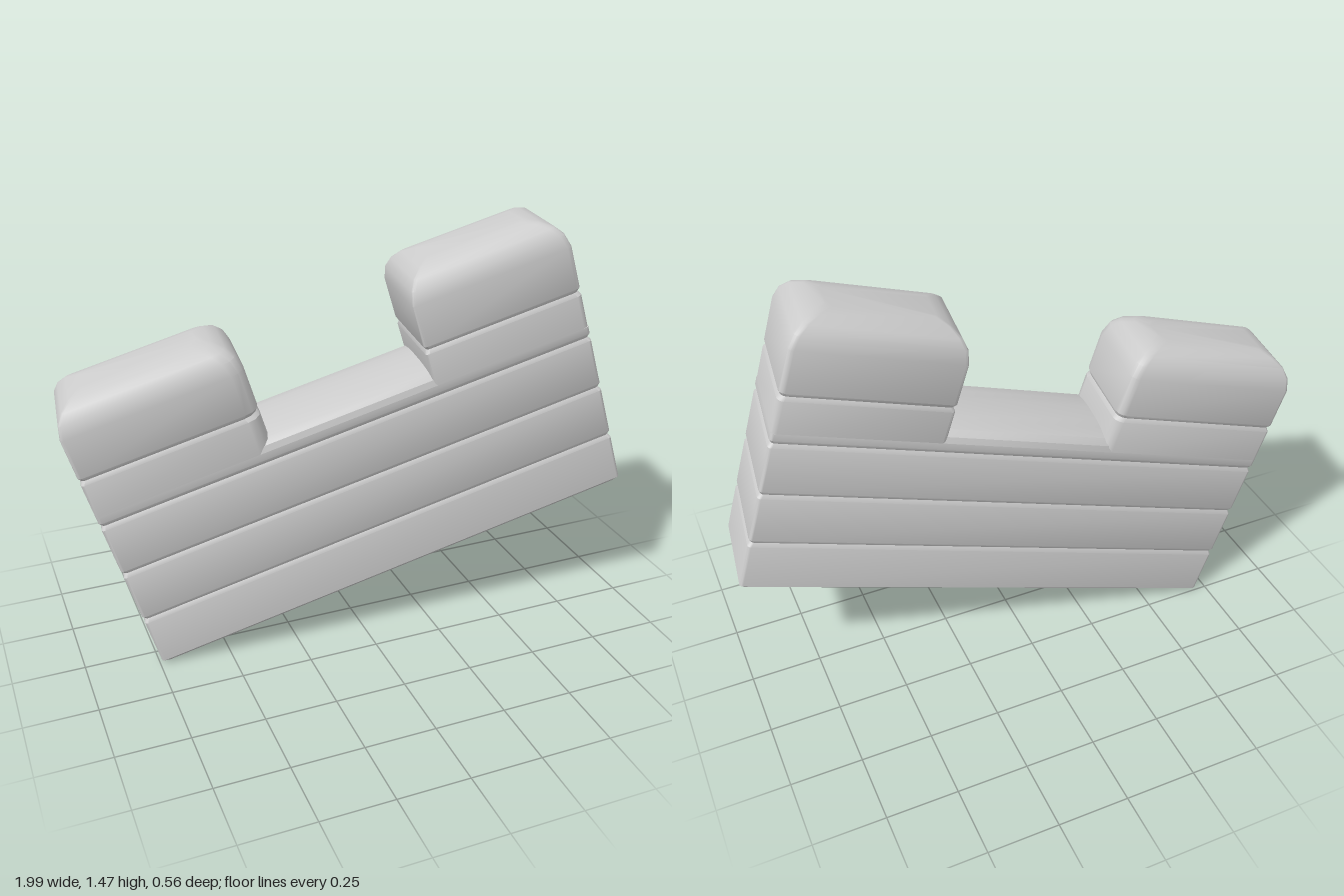
import * as THREE from 'three';
import { toCreasedNormals } from 'three/addons/utils/BufferGeometryUtils.js';

const HALF = 0.167; // half thickness of the wall
const STEPS = 4; // points per rounded corner

// Rounded rectangle ring at height y; radii run +x+z, -x+z, -x-z, +x-z
function ring(x0, x1, y, insetX, insetZ, radii) {
  const pts = [];
  const l = x0 + insetX, r = x1 - insetX, h = HALF - insetZ;
  const corners = [[r, h, -1, -1], [l, h, 1, -1], [l, -h, 1, 1], [r, -h, -1, 1]];
  corners.forEach(([cx, cz, sx, sz], k) => {
    const rad = radii[k];
    for (let i = 0; i < STEPS; i++) {
      const t = (k + i / (STEPS - 1)) * Math.PI / 2;
      pts.push([cx + sx * rad + rad * Math.cos(t), y, cz + sz * rad + rad * Math.sin(t)]);
    }
  });
  return pts;
}

// Skin a stack of levels [y, insetX, insetZ] and close both ends
function loft(x0, x1, levels, radii) {
  const rings = levels.map(([y, ix, iz]) => ring(x0, x1, y, ix, iz, radii));
  const n = rings[0].length, pos = rings.flat(2), idx = [];
  for (let j = 0; j < rings.length - 1; j++) {
    for (let i = 0; i < n; i++) {
      const a = j * n + i, b = j * n + (i + 1) % n;
      idx.push(a, a + n, b, b, a + n, b + n);
    }
  }
  const top = (rings.length - 1) * n;
  for (let i = 1; i < n - 1; i++) {
    idx.push(0, i, i + 1);
    idx.push(top, top + i + 1, top + i);
  }
  const g = new THREE.BufferGeometry();
  g.setAttribute('position', new THREE.Float32BufferAttribute(pos, 3));
  g.setIndex(idx);
  return toCreasedNormals(g, 0.6);
}

// Shallow seam between two stone courses
const seam = (y) => [[y - 0.014, 0, 0], [y, 0.008, 0.008], [y + 0.014, 0, 0]];

export function createModel() {
  const model = new THREE.Group();
  model.name = 'battlementWall';
  const stone = new THREE.MeshStandardMaterial({ color: 0xcccccc });
  stone.name = 'stone grey';
  const wall = new THREE.Group();
  wall.name = 'tiltedWall';
  model.add(wall);

  const add = (name, geometry) => {
    const m = new THREE.Mesh(geometry, stone);
    m.name = name;
    wall.add(m);
  };
  const edge = 0.012;

  // Lower wall with its courses
  add('wallBody', loft(0, 1.78, [
    [0, 0.015, 0.015], [0.015, 0, 0],
    ...seam(0.2), ...seam(0.4), ...seam(0.6), [0.64, 0, 0],
  ], [edge, edge, edge, edge]));

  // Softened floor of the gap
  add('gapFloor', loft(0.56, 1.26, [
    [0.64, 0, 0], [0.662, 0, 0.006], [0.678, 0, 0.03], [0.688, 0, 0.08], [0.692, 0, 0.13],
  ], [0.002, 0.002, 0.002, 0.002]));

  // Upright blocks with worn, rounded tops
  const crown = [
    [0.94, 0, 0], [0.985, 0.012, 0.01], [1.015, 0.035, 0.03],
    [1.036, 0.07, 0.06], [1.046, 0.11, 0.1],
  ];
  add('lowerEndBlock', loft(0, 0.625, [[0.64, 0, 0], ...seam(0.78), ...crown],
    [0.05, edge, edge, 0.03]));
  add('upperEndBlock', loft(1.205, 1.78, [[0.64, 0, 0], ...seam(0.775), ...crown],
    [0.02, edge, edge, 0.02]));

  // Lean the whole wall up onto one end
  const u = new THREE.Vector3(0.953, 0.2825, 0.111).normalize();
  const w = u.clone().cross(new THREE.Vector3(-0.28, 0.95, -0.034)).normalize();
  const v = w.clone().cross(u);
  wall.quaternion.setFromRotationMatrix(new THREE.Matrix4().makeBasis(u, v, w));
  wall.position.set(-0.72, 0, -0.085);
  return model;
}
